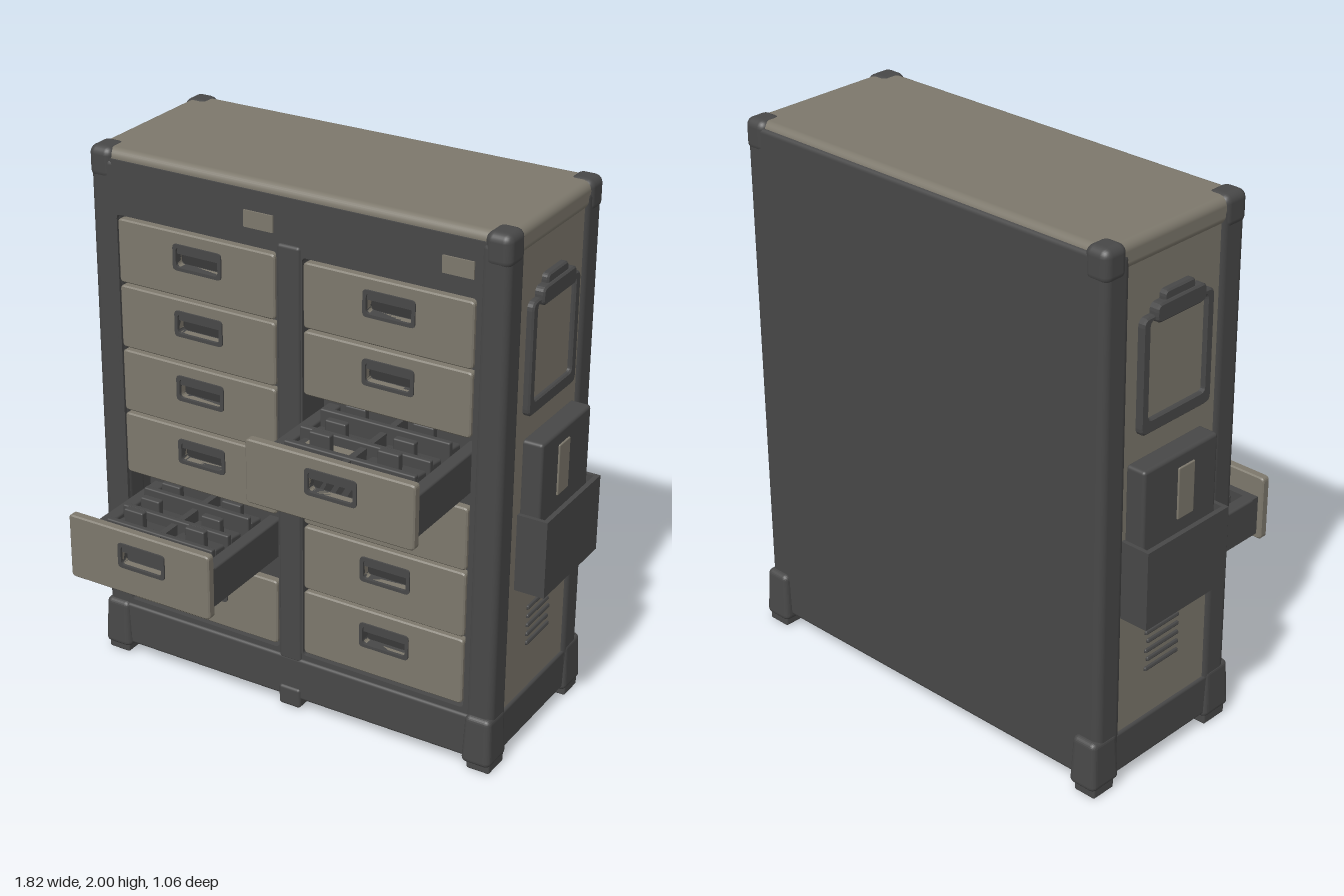
import * as THREE from 'three';
import { RoundedBoxGeometry } from 'three/addons/geometries/RoundedBoxGeometry.js';

const CX = 0.018; // middle of the cabinet body
const HALF = 0.805; // half width of the cabinet body

export function createModel() {
  const root = new THREE.Group();
  const makeMaterial = (name, color) => {
    const m = new THREE.MeshStandardMaterial({ color });
    m.name = name;
    return m;
  };
  const light = makeMaterial('warm grey panel', 0x7d786c);
  const dark = makeMaterial('charcoal frame', 0x484848);
  const deep = makeMaterial('dark recess', 0x383838);

  const add = (parent, name, geometry, material) => {
    const mesh = new THREE.Mesh(geometry, material);
    mesh.name = name;
    parent.add(mesh);
    return mesh;
  };
  // Box given by its limits on each axis; r rounds the edges
  const box = (parent, name, material, [x0, x1], [y0, y1], [z0, z1], r = 0) => {
    const size = [Math.abs(x1 - x0), y1 - y0, z1 - z0];
    const g = r ? new RoundedBoxGeometry(...size, 3, r) : new THREE.BoxGeometry(...size);
    const mesh = add(parent, name, g, material);
    mesh.position.set((x0 + x1) / 2, (y0 + y1) / 2, (z0 + z1) / 2);
    return mesh;
  };
  const rectPath = (path, x0, x1, y0, y1, r = 0.015) => {
    path.moveTo(x0 + r, y0);
    path.lineTo(x1 - r, y0);
    path.quadraticCurveTo(x1, y0, x1, y0 + r);
    path.lineTo(x1, y1 - r);
    path.quadraticCurveTo(x1, y1, x1 - r, y1);
    path.lineTo(x0 + r, y1);
    path.quadraticCurveTo(x0, y1, x0, y1 - r);
    path.lineTo(x0, y0 + r);
    path.quadraticCurveTo(x0, y0, x0 + r, y0);
    return path;
  };
  // Rounded plate with rectangular holes
  const plate = (outer, holes, depth, bevel = 0) => {
    const shape = rectPath(new THREE.Shape(), ...outer);
    holes.forEach((h) => shape.holes.push(rectPath(new THREE.Path(), ...h)));
    return new THREE.ExtrudeGeometry(shape, {
      depth, curveSegments: 4, bevelEnabled: bevel > 0, bevelSize: bevel, bevelOffset: -bevel,
      bevelThickness: bevel, bevelSegments: 1,
    });
  };

  // Cabinet shell
  box(root, 'core', dark, [-0.76, 0.796], [0.05, 1.95], [-0.495, 0.02]);
  box(root, 'backPanel', dark, [-0.75, 0.786], [0.05, 1.975], [-0.505, -0.47], 0.015);
  box(root, 'topPanel', light, [CX - HALF, CX + HALF], [1.9, 1.995], [-0.495, 0.155], 0.03);
  const frame = plate([-0.76, 0.796, 0.05, 1.962],
    [[-0.685, -0.035, 0.235, 1.765], [0.065, 0.715, 0.235, 1.765]], 0.155);
  add(root, 'frontFrame', frame, dark).position.z = 0.006;
  box(root, 'baseBoard', dark, [-0.75, 0.786], [0.045, 0.215], [0.1, 0.17], 0.012);
  box(root, 'centreMullion', dark, [-0.03, 0.06], [0.2, 1.8], [0.1, 0.17], 0.012);
  box(root, 'centreFoot', dark, [-0.03, 0.06], [0.01, 0.09], [0.08, 0.178], 0.012);
  box(root, 'labelPlate', light, [-0.16, -0.045], [1.83, 1.89], [0.16, 0.167]);
  box(root, 'labelPlate', light, [0.59, 0.705], [1.83, 1.89], [0.16, 0.167]);

  // Drawers: one column each side, one open in each
  const edges = [1.76, 1.513, 1.267, 1.02, 0.772, 0.512, 0.245];
  const buildDrawer = (cx, top, bottom, pull, halfW) => {
    const drawer = new THREE.Group();
    drawer.name = pull ? 'openDrawer' : 'drawer';
    drawer.position.set(cx, bottom, pull);
    root.add(drawer);
    const h = top - bottom - 0.008;
    const hy = h / 2 + 0.028;
    const handleX = pull && cx < 0 ? 0.015 : 0.01;
    const slot = [handleX - 0.085, handleX + 0.085, hy - 0.036, hy + 0.036];
    const front = plate([-halfW, halfW, 0, h], [slot], 0.025, 0.005);
    add(drawer, 'drawerFront', front, light).position.z = 0.135;
    const rim = plate([slot[0] - 0.013, slot[1] + 0.013, slot[2] - 0.012, slot[3] + 0.012], [slot], 0.04);
    add(drawer, 'handleRim', rim, dark).position.z = 0.131;
    box(drawer, 'handleRecess', deep, [slot[0] - 0.01, slot[1] + 0.01],
      [slot[2] - 0.01, slot[3] + 0.01], [0.118, 0.13]);
    box(drawer, 'handleGrip', dark, [slot[0], slot[1]], [slot[3] - 0.025, slot[3]], [0.13, 0.163]);
    if (!pull) return;

    // Tray with dividers and files
    const w = halfW - 0.02;
    const back = -0.33;
    for (const s of [-1, 1]) {
      box(drawer, 'traySide', dark, [s * (w - 0.05), s * w], [0.02, 0.17], [back, 0.13], 0.008);
    }
    box(drawer, 'trayFloor', dark, [-w, w], [0.02, 0.045], [back, 0.13]);
    box(drawer, 'trayFrontWall', dark, [-w, w], [0.02, 0.17], [0.1, 0.13]);
    box(drawer, 'trayMiddle', dark, [-0.012, 0.012], [0.04, 0.19], [back, 0.1]);
    [-0.2, -0.07, 0.03].forEach((z, i) => {
      box(drawer, 'divider', dark, [0.05 - w, w - 0.05], [0.04, 0.215 - i * 0.01], [z - 0.012, z + 0.012], 0.006);
      for (const s of [-1, 1]) {
        const file = box(drawer, 'file', dark, [s * 0.03, s * (w - 0.065)],
          [0.05, 0.17], [z - 0.09, z - 0.025], 0.008);
        file.rotation.x = -0.12;
        box(drawer, 'fileTab', dark, [s * 0.09, s * 0.17], [0.16, 0.235], [z - 0.05, z - 0.02], 0.006);
      }
    });
    if (cx > 0) box(drawer, 'paper', light, [-0.2, -0.03], [0.165, 0.173], [-0.05, 0.015]);
  };
  for (const cx of [-0.36, 0.39]) {
    for (let i = 0; i < 6; i++) {
      const open = cx < 0 ? i === 4 : i === 2;
      const narrow = open && cx < 0;
      buildDrawer(narrow ? -0.38 : cx, edges[i], edges[i + 1] + 0.004, open ? 0.36 : 0, narrow ? 0.295 : 0.319);
    }
  }

  // Everything mirrored on the two ends
  for (const s of [-1, 1]) {
    const side = new THREE.Group();
    side.name = s > 0 ? 'leftEnd' : 'rightEnd';
    side.position.x = CX;
    root.add(side);
    const out = (a, b) => [s * a, s * b];

    box(side, 'sidePanel', light, out(0.76, 0.797), [0.19, 1.985], [-0.41, 0.07]);
    box(side, 'sideSkirt', dark, out(0.74, 0.806), [0.045, 0.205], [-0.45, 0.11], 0.012);

    // Corner posts, caps and feet
    for (const [z0, z1, f] of [[0.045, 0.165, 1], [-0.505, -0.385, -1]]) {
      box(side, 'cornerPost', dark, out(0.7, 0.808), [0.1, 1.97], [z0, z1], 0.03);
      const zc = f > 0 ? [0.06, 0.18] : [-0.52, -0.41];
      box(side, 'cornerCap', dark, out(0.715, 0.812), [1.88, 1.999], f > 0 ? [0.055, 0.168] : [-0.508, -0.405], 0.03);
      const g = new RoundedBoxGeometry(0.1, 0.19, 0.12, 3, 0.02);
      const p = g.attributes.position;
      for (let i = 0; i < p.count; i++) {
        // flare towards the ground
        const k = 1 + (0.095 - p.getY(i)) * 0.8;
        p.setX(i, p.getX(i) * k);
        p.setZ(i, p.getZ(i) * k);
      }
      g.computeVertexNormals();
      add(side, 'cornerFoot', g, dark).position.set(s * 0.76, 0.125, (zc[0] + zc[1]) / 2);
      box(side, 'footPad', dark, out(0.72, 0.81), [0, 0.06], [zc[0], zc[1] - 0.01], 0.008);
    }

    // Clipboard
    const board = new THREE.Group();
    board.name = 'clipboard';
    board.position.set(s * 0.79, 0, -0.167);
    board.rotation.y = (s * Math.PI) / 2;
    side.add(board);
    add(board, 'clipboardFrame', plate([-0.172, 0.172, 1.31, 1.72, 0.03], [[-0.135, 0.135, 1.36, 1.7]], 0.025, 0.006), dark);
    add(board, 'clipboardSheet', plate([-0.14, 0.14, 1.355, 1.705], [], 0.016), light);
    add(board, 'clip', plate([-0.12, 0.12, 1.69, 1.755, 0.025], [], 0.035, 0.006), dark);
    add(board, 'clipTop', plate([-0.075, 0.075, 1.73, 1.785, 0.02], [], 0.025, 0.006), dark);

    // Pocket with folder
    const px = 0.91;
    box(side, 'folder', dark, out(0.79, 0.87), [0.7, 1.22], [-0.375, -0.01], 0.012);
    box(side, 'folderLabel', light, out(0.865, 0.876), [0.98, 1.17], [-0.21, -0.13], 0.004);
    box(side, 'pocketFront', dark, out(px - 0.018, px), [0.66, 0.95], [-0.395, 0.01]);
    box(side, 'pocketBottom', dark, out(0.79, px), [0.66, 0.685], [-0.395, 0.01]);
    for (const z of [-0.395, -0.005]) {
      box(side, 'pocketWall', dark, out(0.79, px), [0.66, 0.95], [z, z + 0.015]);
    }

    // Vent louvres
    for (let i = 0; i < 5; i++) {
      const slat = box(side, 'ventSlat', dark, out(0.79, 0.806), [0.385 + i * 0.036, 0.4 + i * 0.036],
        [-0.265 + (i % 2) * 0.01, -0.095], 0.005);
      slat.rotation.z = s * 0.3;
    }
  }
  return root;
}
